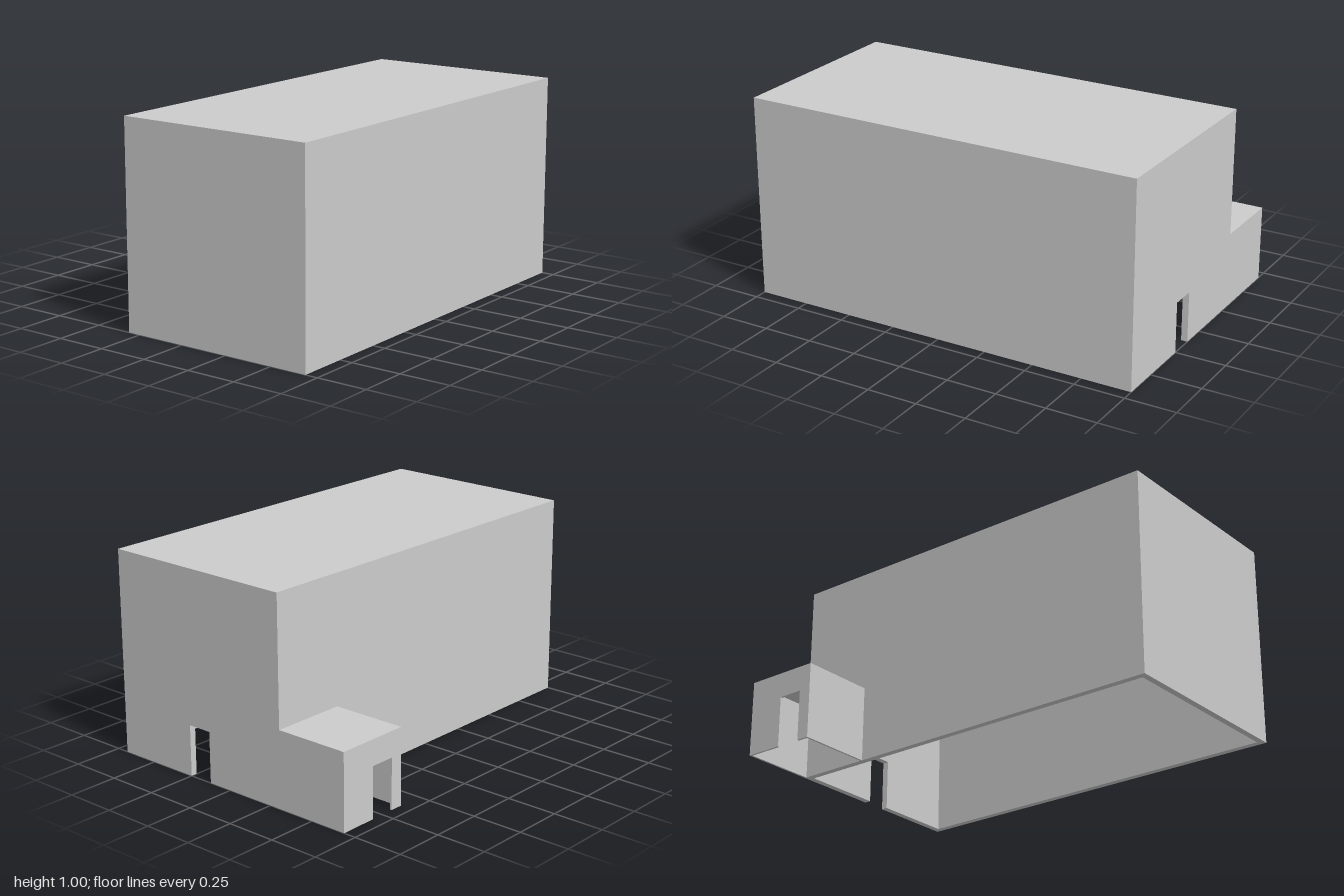
import * as THREE from 'three';

const material = new THREE.MeshStandardMaterial({ color: 0xcccccc, flatShading: true });

function add(group, name, geometry) {
  const mesh = new THREE.Mesh(geometry, material);
  mesh.name = name;
  group.add(mesh);
  return mesh;
}

// Box given by its minimum and maximum corners
function block(group, name, [x0, y0, z0], [x1, y1, z1]) {
  const geometry = new THREE.BoxGeometry(x1 - x0, y1 - y0, z1 - z0);
  geometry.translate((x0 + x1) / 2, (y0 + y1) / 2, (z0 + z1) / 2);
  return add(group, name, geometry);
}

// Upright wall from u0 to u1 with a doorway from d0 to d1, open at the ground
function doorWall(u0, u1, height, d0, d1, doorHeight, thickness) {
  const shape = new THREE.Shape([
    [u0, 0], [d0, 0], [d0, doorHeight], [d1, doorHeight],
    [d1, 0], [u1, 0], [u1, height], [u0, height],
  ].map(([u, v]) => new THREE.Vector2(u, v)));
  return new THREE.ExtrudeGeometry(shape, { depth: thickness, bevelEnabled: false });
}

export function createModel() {
  const model = new THREE.Group();
  model.name = 'building';

  // Main hall: hollow, open underneath
  const hall = new THREE.Group();
  hall.name = 'mainHall';
  model.add(hall);
  const t = 0.03125, back = -0.3125, front = 0.6875, top = 1 - t;
  block(hall, 'hallRoof', [-1, top, back], [1, 1, front]);
  block(hall, 'hallFrontWall', [-1, 0, front - t], [1, top, front]);
  block(hall, 'hallBackWall', [-1, 0, back], [1, top, back + t]);
  block(hall, 'hallEndWall', [-1, 0, back + t], [-1 + t, top, front - t]);

  // Side wall with doorway, turned so the wall runs along z
  const side = doorWall(-(front - t), -(back + t), top, -0.25, -0.125, 0.25, t);
  side.rotateY(Math.PI / 2).translate(1 - t, 0, 0);
  add(hall, 'hallDoorWall', side);

  // Small annex behind the hall, with thin walls and its own doorway
  const annex = new THREE.Group();
  annex.name = 'annex';
  model.add(annex);
  const s = 0.01, inner = 0.625, rear = -0.6875, height = 0.375;
  block(annex, 'annexRoof', [inner, height - s, rear], [1, height, back]);
  for (const [name, x] of [['annexInnerWall', inner], ['annexOuterWall', 1 - s]]) {
    block(annex, name, [x, 0, rear + s], [x + s, height - s, back]);
  }
  const rearWall = doorWall(inner, 1, height - s, 0.6875, 0.8125, 0.25, s);
  add(annex, 'annexDoorWall', rearWall.translate(0, 0, rear));

  return model;
}
